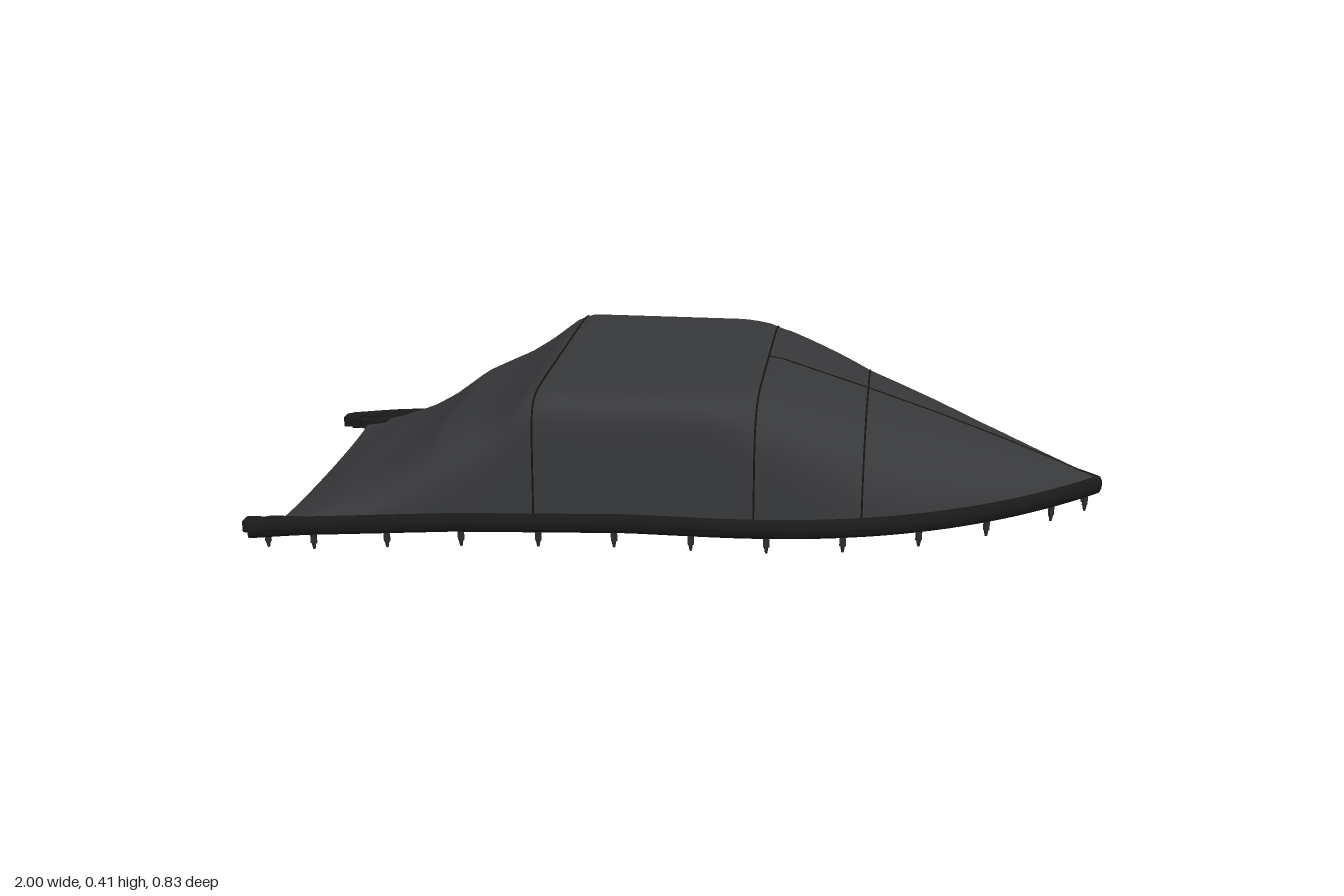
import * as THREE from 'three';

const mat = (color, side = THREE.FrontSide) =>
  new THREE.MeshStandardMaterial({ color, side, roughness: 0.9 });
const fabric = mat(0x38393b, THREE.DoubleSide);
const hemMat = mat(0x1a1a1b, THREE.DoubleSide);
const seamMat = mat(0x161617);
const strapMat = mat(0x2c2d2f);

// Piecewise-linear lookup in [x, value] pairs
function lookup(table, x) {
  if (x <= table[0][0]) return table[0][1];
  for (let i = 1; i < table.length; i++) {
    const [x0, a] = table[i - 1], [x1, b] = table[i];
    if (x <= x1) return a + (b - a) * (x - x0) / (x1 - x0);
  }
  return table[table.length - 1][1];
}

// Ridge height, hem height and cross-section squareness along the boat
const RIDGE = [[-0.93, 0.06], [-0.87, 0.095], [-0.8, 0.135], [-0.72, 0.172], [-0.65, 0.215],
  [-0.6, 0.253], [-0.56, 0.284], [-0.52, 0.3], [-0.45, 0.328], [-0.38, 0.37], [-0.33, 0.405],
  [-0.3, 0.415], [0.17, 0.415], [0.22, 0.408], [0.43, 0.342], [0.6, 0.285], [0.75, 0.23],
  [0.9, 0.172], [0.985, 0.135]];
const HEM = [[-1, 0.068], [-0.87, 0.083], [-0.5, 0.11], [-0.1, 0.126], [0.4, 0.124], [1, 0.12]];
const SQUARE = [[-0.93, 2], [-0.8, 2.6], [-0.56, 3.6], [-0.4, 6], [-0.28, 12], [0.1, 12],
  [0.2, 6], [0.43, 2.9], [0.7, 2], [0.985, 1.5]];
const STERN = -0.93, EAR = -0.87, BOW = 0.985;

const ridge = x => lookup(RIDGE, x);
const hem = x => lookup(HEM, x);
function halfWidth(x) {
  const u = Math.max(0, (x - 0.05) / (BOW - 0.05));
  return 0.403 * (1 - Math.min(1, u) ** 2.4);
}

// Superellipse cross-section running from +z over the ridge to -z
function section(x, lift = 0) {
  const w = (x < EAR ? 0.36 : halfWidth(x)) + lift, r = hem(x), h = ridge(x) + lift, e = 2 / lookup(SQUARE, x);
  const pts = [], N = 64;
  for (let i = 0; i <= N; i++) {
    const a = Math.PI * i / N, c = Math.cos(a);
    const v = i % N === 0 ? 0 : Math.sin(a) ** e;
    const s = i === N / 2 ? 0 : Math.sign(c) * Math.abs(c) ** e;
    pts.push(new THREE.Vector3(x, r + (h - r) * v, s * w * (1 - 0.025 * v)));
  }
  return pts;
}

// Smooth surface through rows of points
function loft(rows, material, name) {
  const n = rows[0].length, index = [];
  for (let i = 0; i < rows.length - 1; i++)
    for (let j = 0; j < n - 1; j++) {
      const a = i * n + j, b = a + n;
      index.push(a, b, a + 1, b, b + 1, a + 1);
    }
  const geo = new THREE.BufferGeometry().setFromPoints(rows.flat());
  geo.setIndex(index);
  geo.computeVertexNormals();
  const mesh = new THREE.Mesh(geo, material);
  mesh.name = name;
  return mesh;
}

function seam(points, name) {
  const curve = new THREE.CatmullRomCurve3(points, false, 'centripetal');
  const mesh = new THREE.Mesh(new THREE.TubeGeometry(curve, 100, 0.0022, 5), seamMat);
  mesh.name = name;
  return mesh;
}

// Short webbing tab ending in a narrow hook
function strap(x, y, z, turn, length) {
  const g = new THREE.Group();
  g.name = 'strap';
  const tab = new THREE.Mesh(new THREE.BoxGeometry(0.014, length * 0.65, 0.006), strapMat);
  tab.position.y = -length * 0.325;
  const hook = new THREE.Mesh(new THREE.CylinderGeometry(0.006, 0.003, length * 0.4, 6), strapMat);
  hook.position.y = -length * 0.8;
  g.add(tab, hook);
  g.position.set(x, y, z);
  g.rotation.y = turn;
  return g;
}

export function createModel() {
  const model = new THREE.Group();
  model.name = 'boatCover';

  // Main cover, with the stern corners cut in for the ears
  const xs = [STERN, -0.9, EAR - 0.001];
  for (let i = 0; i <= 100; i++) xs.push(EAR + (BOW - EAR) * i / 100);
  const rows = xs.map(x => section(x));
  model.add(loft(rows, fabric, 'cover'));

  // Sagging skirt across the stern
  const skirtRow = t => rows[0].map(p => {
    const bottom = 0.003 + 0.0175 * (1 - Math.cos(Math.PI * p.z / 0.36));
    return new THREE.Vector3(STERN - 0.006 * Math.sin(Math.PI * t), p.y + (bottom - p.y) * t, p.z);
  });
  model.add(loft([0, 0.25, 0.5, 0.75, 1].map(skirtRow), hemMat, 'sternSkirt'));

  // Padded hem around both sides and the bow
  const side = [];
  for (let i = 0; i <= 70; i++) {
    const x = -0.985 + (BOW + 0.985) * Math.sin(Math.PI / 2 * i / 70);
    side.push(new THREE.Vector3(x, hem(x), halfWidth(x)));
  }
  const path = [...side, ...side.slice(0, -1).reverse().map(p => new THREE.Vector3(p.x, p.y, -p.z))];
  const hemRows = path.map((p, i) => {
    const a = path[Math.max(0, i - 1)], b = path[Math.min(path.length - 1, i + 1)];
    const out = new THREE.Vector3(-(b.z - a.z), 0, b.x - a.x).normalize();
    const ring = [];
    for (let k = 0; k <= 12; k++) {
      const t = -2 * Math.PI * k / 12;
      ring.push(p.clone().addScaledVector(out, 0.011 * Math.cos(t)).add(new THREE.Vector3(0, 0.023 * Math.sin(t), 0)));
    }
    return ring;
  });
  model.add(loft(hemRows, hemMat, 'hem'));

  // Slotted ears at the stern corners
  for (const s of [1, -1]) {
    const shape = new THREE.Shape();
    shape.moveTo(-0.86, s * 0.355);
    shape.lineTo(-0.945, s * 0.357);
    shape.lineTo(-0.955, s * 0.366);
    shape.lineTo(-0.99, s * 0.366);
    shape.quadraticCurveTo(-1, s * 0.366, -1, s * 0.376);
    shape.lineTo(-1, s * 0.4);
    shape.quadraticCurveTo(-1, s * 0.41, -0.99, s * 0.41);
    shape.lineTo(-0.86, s * 0.41);
    const slot = new THREE.Path();
    slot.moveTo(-0.955, s * 0.374);
    slot.lineTo(-0.885, s * 0.374);
    slot.lineTo(-0.885, s * 0.393);
    slot.lineTo(-0.955, s * 0.393);
    shape.holes.push(slot);
    const ear = new THREE.Mesh(
      new THREE.ExtrudeGeometry(shape, { depth: 0.024, bevelEnabled: false }), hemMat);
    ear.geometry.rotateX(Math.PI / 2);
    ear.position.y = 0.088;
    ear.name = 'sternEar';
    model.add(ear);
  }

  // Cross seams and the bow spine
  for (const x of [-0.31, 0.19, 0.43]) model.add(seam(section(x, 0.0005), 'crossSeam'));
  const spine = [];
  for (let x = 0.19; x < 0.98; x += 0.04) spine.push(new THREE.Vector3(x, ridge(x) + 0.0005, 0));
  model.add(seam(spine, 'bowSpineSeam'));

  // Tie-down straps along the hem and stern
  for (const s of [1, -1]) {
    for (const x of [-0.83, -0.655, -0.48, -0.3, -0.125, 0.05, 0.22, 0.39, 0.56, 0.715, 0.87, 0.955]) {
      const w = halfWidth(x), slope = (halfWidth(x + 0.01) - halfWidth(x - 0.01)) / 0.02;
      model.add(strap(x, hem(x) - 0.015, s * w, -s * Math.atan(slope), 0.042));
    }
    model.add(strap(-0.94, 0.068, s * 0.402, 0, 0.04));
    model.add(strap(STERN - 0.004, 0.035, s * 0.19, Math.PI / 2, 0.035));
  }
  return model;
}
